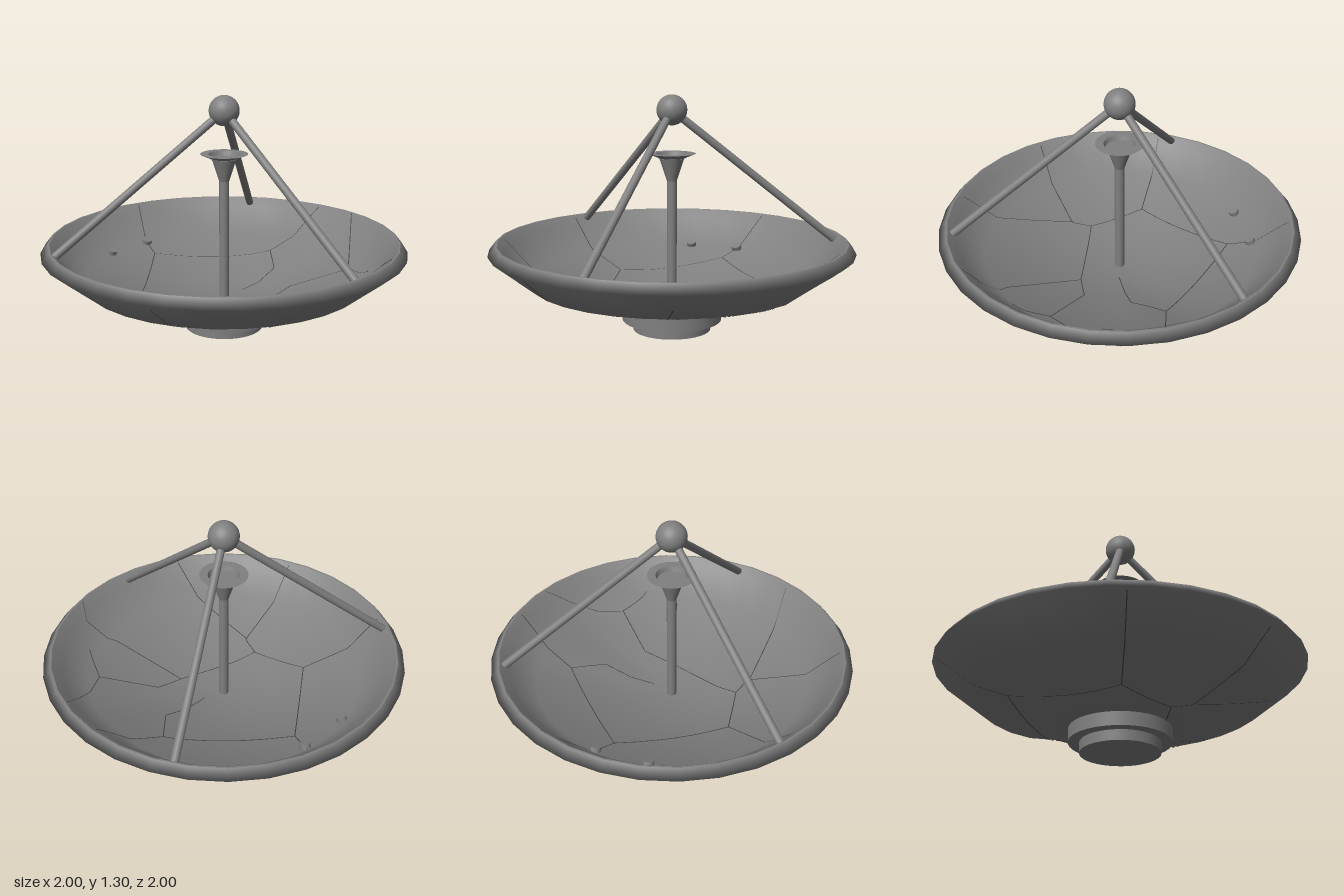
import * as THREE from 'three';
import { mergeVertices, mergeGeometries } from 'three/addons/utils/BufferGeometryUtils.js';

const SIDES = 32;
const OUTER = [[0, 0.13], [0.27, 0.13], [0.78, 0.28], [1, 0.455], [0.96, 0.506]];
const INNER = [[0.95, 0.506], [0.9, 0.46], [0.76, 0.315], [0.27, 0.185], [0, 0.175]];

// Paths of the hairline cracks, seen from above as [x, z]
const CRACKS = [
  [[-0.28, -0.95], [-0.28, -0.69], [-0.26, -0.56], [-0.48, 0.03]],
  [[-0.26, -0.56], [0.42, -0.41], [0.83, -0.53]],
  [[0.42, -0.41], [0.37, -0.2], [0.12, -0.04]],
  [[-0.98, 0.08], [-0.48, 0.03], [-0.25, 0.27], [-0.22, 0.38], [-0.6, 0.75]],
  [[-0.23, 0.38], [0.12, 0.97]],
  [[-0.25, 0.27], [0.22, 0.15], [0.37, 0.07], [0.69, 0.13], [0.72, 0.33]],
  [[0.69, 0.13], [0.92, -0.34]],
  [[0.22, 0.15], [0.55, 0.44], [0.71, 0.5], [0.72, 0.66]],
];

// Upward dent in one side of the dish, strongest at the shell's bend
function dent(x, z) {
  const r = Math.hypot(x, z);
  const weight = Math.max(0, r < 0.77 ? (r - 0.27) / 0.5 : (0.95 - r) / 0.18);
  const turn = (Math.atan2(z, x) + 0.55) / 0.2;
  return 0.035 * weight * Math.exp(-turn * turn);
}

// Height of a faceted shell at x, z
function shellHeight(profile, x, z) {
  const step = (Math.PI * 2) / SIDES;
  const angle = Math.atan2(z, x) + Math.PI * 2;
  const off = (angle % step) - step / 2;
  const r = Math.hypot(x, z) * Math.cos(off) / Math.cos(step / 2);
  for (let i = 0; i < profile.length - 1; i++) {
    const [a, b] = [profile[i], profile[i + 1]];
    if (r >= Math.min(a[0], b[0]) && r <= Math.max(a[0], b[0])) {
      return a[1] + (b[1] - a[1]) * (r - a[0]) / (b[0] - a[0]) + dent(x, z);
    }
  }
  return null;
}

function lathe(points) {
  return new THREE.LatheGeometry(points.map(([r, y]) => new THREE.Vector2(r, y)), SIDES);
}

// Smooth turned shell with the dent pressed in
function shell(points) {
  let geo = lathe(points);
  geo.deleteAttribute('normal');
  geo.deleteAttribute('uv');
  geo = mergeVertices(geo, 1e-4);
  const p = geo.attributes.position;
  for (let i = 0; i < p.count; i++) p.setY(i, p.getY(i) + dent(p.getX(i), p.getZ(i)));
  geo.computeVertexNormals();
  return geo;
}

// Narrow ribbon laid over a shell along one path
function ribbon(path, profile, lift) {
  const pos = [], index = [];
  for (let s = 0; s < path.length - 1; s++) {
    const [a, b] = [path[s], path[s + 1]];
    const len = Math.hypot(b[0] - a[0], b[1] - a[1]);
    const nx = -(b[1] - a[1]) / len * 0.0025, nz = (b[0] - a[0]) / len * 0.0025;
    const n = Math.ceil(len / 0.03);
    let joined = false;
    for (let i = 0; i <= n; i++) {
      const x = a[0] + (b[0] - a[0]) * i / n, z = a[1] + (b[1] - a[1]) * i / n;
      const h = shellHeight(profile, x, z);
      if (h === null) { joined = false; continue; }
      pos.push(x + nx, h + lift, z + nz, x - nx, h + lift, z - nz);
      const k = pos.length / 3 - 2;
      if (joined) index.push(k - 2, k - 1, k, k - 1, k + 1, k);
      joined = true;
    }
  }
  const geo = new THREE.BufferGeometry();
  geo.setAttribute('position', new THREE.Float32BufferAttribute(pos, 3));
  geo.setIndex(index);
  geo.computeVertexNormals();
  return geo;
}

// Cylinder running between two points
function rod(from, to, radius, sides) {
  const dir = new THREE.Vector3().subVectors(to, from);
  const geo = new THREE.CylinderGeometry(radius, radius, dir.length(), sides);
  geo.applyQuaternion(new THREE.Quaternion().setFromUnitVectors(
    new THREE.Vector3(0, 1, 0), dir.clone().normalize()));
  const mid = from.clone().add(to).multiplyScalar(0.5);
  return geo.translate(mid.x, mid.y, mid.z);
}

export function createModel() {
  const group = new THREE.Group();
  const grey = new THREE.MeshStandardMaterial({ color: 0x808080 });
  grey.name = 'grey metal';
  const dark = new THREE.MeshStandardMaterial({ color: 0x404040, side: THREE.DoubleSide });
  dark.name = 'dark crack';

  const add = (name, geo, mat = grey) => {
    const mesh = new THREE.Mesh(geo, mat);
    mesh.name = name;
    group.add(mesh);
    return mesh;
  };

  // Dish: outside, flat lip and inside
  add('dishOutside', shell(OUTER));
  add('dishLip', lathe([[0.96, 0.506], [0.95, 0.506]]));
  add('dishInside', shell(INNER));
  add('cracksInside', mergeGeometries(CRACKS.map((c) => ribbon(c, INNER, 0.003))), dark);
  add('cracksOutside', mergeGeometries(CRACKS.map((c) => ribbon(c, OUTER.slice(0, 4), -0.003))), dark);

  // Stepped foot
  add('upperFoot', new THREE.CylinderGeometry(0.275, 0.275, 0.08, SIDES).translate(0, 0.097, 0));
  add('lowerFoot', new THREE.CylinderGeometry(0.215, 0.215, 0.06, SIDES).translate(0, 0.03, 0));

  // Central feed: post, flared horn, flat rim and recess
  add('feedPost', new THREE.CylinderGeometry(0.027, 0.027, 0.68, 16).translate(0, 0.5, 0));
  add('feedHorn', lathe([[0.027, 0.83], [0.045, 0.885], [0.068, 0.955]]));
  add('feedFlange', lathe([[0.068, 0.955], [0.13, 0.98]]));
  add('feedRim', lathe([[0.13, 0.98], [0.085, 0.98]]));
  add('feedRecess', lathe([[0.085, 0.98], [0.075, 0.955]]));
  add('feedRecessFloor', lathe([[0.075, 0.955], [0, 0.955]]));

  // Three struts holding the ball
  const top = new THREE.Vector3(0, 1.215, 0);
  for (const [x, z] of [[-0.94, -0.01], [0.43, -0.82], [0.42, 0.82]]) {
    add('strut', rod(new THREE.Vector3(x, 0.475, z), top, 0.022, 16));
  }
  add('ball', new THREE.SphereGeometry(0.083, 32, 20).translate(0, 1.215, 0));

  // Two bolts standing out of the inner face
  for (const [x, z] of [[-0.28, -0.69], [-0.53, -0.53]]) {
    const y = shellHeight(INNER, x, z);
    const base = new THREE.Vector3(x * 1.01, y - 0.02, z * 1.01);
    const tip = new THREE.Vector3(x * 0.985, y + 0.025, z * 0.985);
    add('bolt', rod(base, tip, 0.029, 12));
  }
  return group;
}
